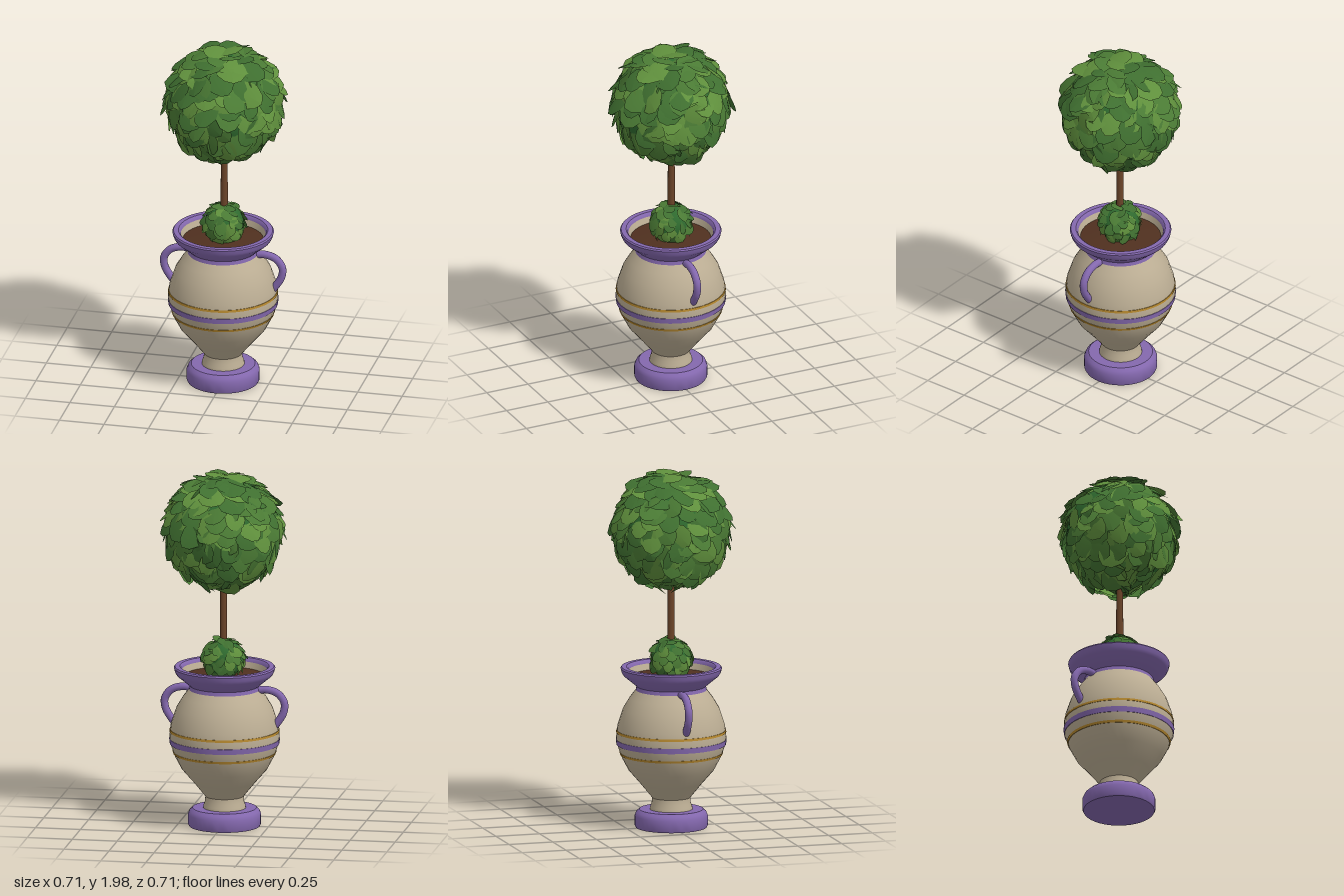
import * as THREE from 'three';
import { mergeGeometries, toCreasedNormals } from 'three/addons/utils/BufferGeometryUtils.js';

const mat = (color, side = THREE.FrontSide) => new THREE.MeshStandardMaterial({ color, side });
const beige = mat(0xbcae94, THREE.DoubleSide);
const purple = mat(0x8468ae);
const gold = mat(0xb88a30);
const soilBrown = mat(0x50301f);
const bark = mat(0x6b4429);
const coreGreen = mat(0x2f6a2f);
const leafGreens = [0x4a7a34, 0x5f8f3c, 0x3f6f30].map((c) => mat(c, THREE.DoubleSide));

function seeded(seed) {
  let s = seed;
  return () => (s = (s * 16807) % 2147483647) / 2147483647;
}

function add(parent, name, geometry, material) {
  const mesh = new THREE.Mesh(geometry, material);
  mesh.name = name;
  parent.add(mesh);
  return mesh;
}

// Profiles run from bottom to top as [radius, height]
function lathe(points, crease = 0.6) {
  const g = new THREE.LatheGeometry(points.map(([r, y]) => new THREE.Vector2(r, y)), 40);
  return toCreasedNormals(g, crease);
}

const bodyProfile = [
  [0.105, 0.165], [0.17, 0.245], [0.235, 0.32], [0.272, 0.39], [0.297, 0.46], [0.302, 0.5],
  [0.294, 0.57], [0.264, 0.66], [0.228, 0.72], [0.19, 0.77],
];

function bodyRadius(y) {
  const i = bodyProfile.findIndex((p) => p[1] >= y);
  const [r0, y0] = bodyProfile[i - 1];
  const [r1, y1] = bodyProfile[i];
  return r0 + ((r1 - r0) * (y - y0)) / (y1 - y0);
}

function band(y, h) {
  const a = y - h / 2, b = y + h / 2;
  const ra = bodyRadius(a), rb = bodyRadius(b);
  return lathe([[ra - 0.01, a], [ra + 0.003, a], [rb + 0.003, b], [rb - 0.01, b]]);
}

// One leaf: rounded polygon, pointed at the tip, cupped along its length
function leafGeometry(size, random) {
  const g = new THREE.CircleGeometry(1, 9, Math.PI / 2);
  const p = g.attributes.position;
  const width = size * (0.85 + 0.2 * random());
  const length = size * (0.95 + 0.25 * random());
  for (let i = 0; i < p.count; i++) {
    const x = p.getX(i), y = p.getY(i);
    const taper = y > 0 ? 1 - 0.2 * y : 1;
    p.setXYZ(i, x * width * taper, y * length, -size * (0.16 * x * x + 0.14 * y * y));
  }
  g.computeVertexNormals();
  return g;
}

// Round bush: a dark core shingled with leaves whose tips point down and outward
function foliage(name, radius, leafSize, count, seed) {
  const random = seeded(seed);
  const bush = new THREE.Group();
  bush.name = name;
  add(bush, name + 'Core', new THREE.SphereGeometry(radius * 0.96, 28, 20), coreGreen);
  const sets = leafGreens.map(() => []);
  const n = new THREE.Vector3(), tip = new THREE.Vector3(), side = new THREE.Vector3();
  const m = new THREE.Matrix4(), turn = new THREE.Matrix4();
  for (let i = 0; i < count; i++) {
    const y = 1 - (2 * (i + 0.5)) / count;
    const a = i * 2.39996 + (random() - 0.5) * 0.5;
    const s = Math.sqrt(1 - y * y);
    n.set(Math.cos(a) * s, y, Math.sin(a) * s);
    tip.set(0, -1, 0).addScaledVector(n, y).normalize();
    side.crossVectors(tip, n);
    m.makeBasis(side, tip, n);
    m.multiply(turn.makeRotationZ((random() - 0.5) * 2));
    m.multiply(turn.makeRotationX(0.08 + random() * 0.42));
    m.multiply(turn.makeRotationY((random() - 0.5) * 0.4));
    m.setPosition(n.multiplyScalar(radius * (1 + random() * 0.06)));
    const g = leafGeometry(leafSize * (0.85 + 0.3 * random()), random);
    sets[Math.floor(random() * sets.length)].push(g.applyMatrix4(m));
  }
  sets.forEach((list, i) => add(bush, name + 'Leaves' + (i + 1), mergeGeometries(list), leafGreens[i]));
  return bush;
}

export function createModel() {
  const model = new THREE.Group();
  model.name = 'pottedTopiary';

  // Urn
  const urn = new THREE.Group();
  urn.name = 'urn';
  urn.position.x = -0.006;
  model.add(urn);
  add(urn, 'foot', lathe([
    [0, 0], [0.195, 0], [0.2, 0.01], [0.2, 0.065], [0.192, 0.085], [0.175, 0.1], [0, 0.1],
  ]), purple);
  add(urn, 'stem', lathe([[0.117, 0.098], [0.115, 0.115], [0.107, 0.135], [0.105, 0.168]]), beige);
  add(urn, 'body', lathe(bodyProfile), beige);
  add(urn, 'lowerGoldBand', band(0.41, 0.013), gold);
  add(urn, 'middleBand', band(0.475, 0.03), purple);
  add(urn, 'upperGoldBand', band(0.535, 0.013), gold);
  add(urn, 'rim', lathe([
    [0.18, 0.757], [0.196, 0.757], [0.19, 0.785], [0.21, 0.802], [0.262, 0.845], [0.272, 0.862],
    [0.278, 0.885], [0.272, 0.893], [0.245, 0.893], [0.236, 0.885], [0.232, 0.87],
  ]), purple);
  add(urn, 'innerWall', lathe([[0.215, 0.82], [0.232, 0.872]]), beige);
  add(urn, 'soil', lathe([[0.222, 0.838], [0.12, 0.848], [0, 0.852]]), soilBrown);

  // Handles, mirrored left and right
  for (const s of [1, -1]) {
    const path = new THREE.CatmullRomCurve3([
      [0.185, 0.765], [0.235, 0.769], [0.295, 0.75], [0.332, 0.7],
      [0.328, 0.645], [0.3, 0.595], [0.277, 0.565],
    ].map(([x, y]) => new THREE.Vector3(s * x, y, 0)));
    add(urn, s > 0 ? 'leftHandle' : 'rightHandle', new THREE.TubeGeometry(path, 28, 0.021, 12), purple);
    const end = add(urn, s > 0 ? 'leftHandleEnd' : 'rightHandleEnd', new THREE.SphereGeometry(0.021, 12, 8), purple);
    end.position.set(s * 0.277, 0.565, 0);
  }

  // Trunk
  const trunk = add(model, 'trunk', new THREE.CylinderGeometry(0.018, 0.022, 0.6, 12), bark);
  trunk.position.y = 1.14;

  // Foliage
  const crown = foliage('crown', 0.305, 0.074, 270, 4217);
  crown.position.y = 1.655;
  model.add(crown);
  const lowBush = foliage('lowBush', 0.112, 0.036, 75, 913);
  lowBush.position.y = 0.935;
  model.add(lowBush);

  return model;
}
